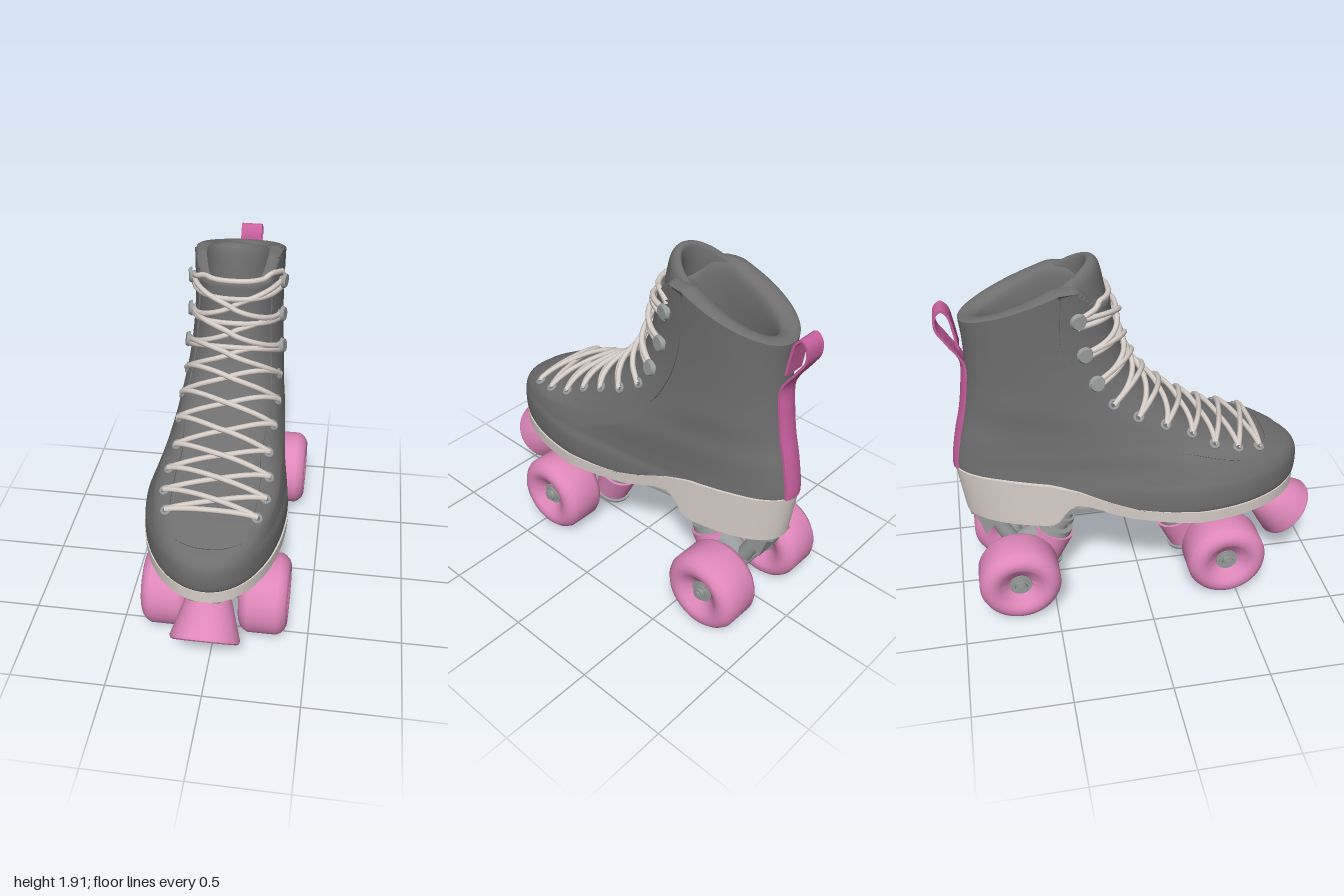
import * as THREE from 'three';
import { ParametricGeometry } from 'three/addons/geometries/ParametricGeometry.js';
import { toCreasedNormals } from 'three/addons/utils/BufferGeometryUtils.js';

const material = (name, color, side = THREE.FrontSide) => {
  const m = new THREE.MeshStandardMaterial({ color, side });
  m.name = name;
  return m;
};
const V = (x, y, z) => new THREE.Vector3(x, y, z);
const { lerp, clamp, smoothstep } = THREE.MathUtils;

// piecewise linear height along z
const heightAt = (pts, z) => {
  let i = 0;
  while (i < pts.length - 2 && z > pts[i + 1][0]) i++;
  const [a, b] = [pts[i], pts[i + 1]];
  return lerp(a[1], b[1], clamp((z - a[0]) / (b[0] - a[0]), 0, 1));
};
const SOLE_TOP = [[-1, .812], [-.75, .806], [-.5, .786], [-.35, .745], [-.2, .68], [-.05, .63], [.1, .612], [.3, .605], [.95, .6]];
const SOLE_BOTTOM = [[-1, .535], [-.5, .535], [-.46, .56], [-.42, .63], [-.37, .665], [-.3, .655], [-.2, .615], [-.1, .58], [.05, .555], [.2, .54], [.95, .535]];

// boot rings: front y, front z, back y, back z, widest z, half width, front squareness, waist, x shift, height cap
const BODY = [
  [.585, .855, .585, -.94, .25, .35, 2, .12, -.025],
  [.62, .885, .62, -.96, .25, .368, 2, .12, -.025],
  [.72, .888, .72, -.963, .25, .366, 2, .12, -.022],
  [.775, .86, .775, -.963, .24, .35, 2.1, .11, -.02],
  [.815, .79, .82, -.962, .2, .337, 2.4, .1, -.015],
  [.86, .68, .865, -.957, .12, .322, 2.9, .09, -.01],
  [.92, .475, .93, -.945, 0, .304, 3, .07, -.005],
  [.99, .325, 1, -.93, -.12, .284, 3.3, .05, 0],
  [1.085, .185, 1.09, -.905, -.22, .264, 3.4, .03, 0],
  [1.2, .055, 1.2, -.885, -.35, .247, 3, 0, 0],
  [1.33, -.04, 1.32, -.872, -.42, .235, 2.6, 0, 0],
  [1.48, -.1, 1.43, -.868, -.47, .228, 2.5, 0, 0],
  [1.64, -.132, 1.54, -.87, -.5, .226, 2.5, 0, 0],
  [1.9, -.15, 1.645, -.88, -.5, .23, 2.4, 0, 0],
].map(r => [...r, 1.81]);

function loftPoint(rings, v, a) {
  const f = clamp(v, 0, 1) * (rings.length - 1), i = Math.min(Math.floor(f), rings.length - 2), t = f - i;
  const at = j => rings[clamp(j, 0, rings.length - 1)];
  const [yf, zf, yb, zb, zc, w, n, waist, shift, cap] = rings[0].map((_, k) => {
    const [p, q, r, s] = [at(i - 1)[k], at(i)[k], at(i + 1)[k], at(i + 2)[k]];
    return q + .5 * t * (r - p + t * (2 * p - 5 * q + 4 * r - s + t * (3 * (q - r) + s - p)));
  });
  const c = Math.cos(a), s = Math.sin(a), e = c > 0 ? 2 / n : 1;
  const d = Math.pow(Math.abs(c), e);
  const z = zc + d * (c > 0 ? zf - zc : zb - zc);
  let x = w * Math.sign(s) * Math.pow(Math.abs(s), e);
  if (c < 0) x *= 1 - waist * Math.sin(Math.PI * d);
  x += shift * (1 - d * d);
  // the rim dips at the front, where the tongue comes through
  const top = cap - .09 * smoothstep(z, -.33, -.21);
  return V(x, Math.max(Math.min(lerp(yb, yf, (z - zb) / (zf - zb)), top), heightAt(SOLE_TOP, z) - .012), z);
}
const boot = (v, a) => loftPoint(BODY, v, a);
const bootNormal = (v, a) => {
  const e = 1e-3;
  const da = boot(v, a + e).sub(boot(v, a - e)), dv = boot(v + e, a).sub(boot(v - e, a));
  return da.cross(dv).normalize();
};
const onBoot = (v, a, off) => boot(v, a).addScaledVector(bootNormal(v, a), off);

// nearest surface coordinates (angle, ring) to a side position
function locate(z, y) {
  let best = 9, out;
  for (let i = 0; i <= 130; i++) for (let j = 0; j <= 110; j++) {
    const a = j / 110 * 2.6, v = .12 + i / 130 * .88, p = boot(v, a), d = Math.hypot(p.z - z, p.y - y);
    if (d < best) { best = d; out = new THREE.Vector2(a, v); }
  }
  return out;
}
const surface = (fn, nu, nv) => new ParametricGeometry((u, v, t) => t.copy(fn(u, v)), nu, nv);

export function createModel() {
  const leather = material('charcoalLeather', 0x6e6e6e, THREE.DoubleSide);
  const pink = material('pink', 0xdf88bb), ribbon = material('pinkRibbon', 0xc8609f, THREE.DoubleSide);
  const cream = material('cream', 0xd8cfc9, THREE.DoubleSide), metal = material('metal', 0x989b9b);
  const model = new THREE.Group();
  model.name = 'rollerSkate';
  const group = name => { const g = new THREE.Group(); g.name = name; model.add(g); return g; };
  const add = (parent, name, geo, mat) => { const m = new THREE.Mesh(geo, mat); m.name = name; parent.add(m); return m; };
  const rod = (parent, name, from, to, r0, r1, mat, sides = 28) => {
    const dir = to.clone().sub(from);
    const m = add(parent, name, new THREE.CylinderGeometry(r1, r0, dir.length(), sides), mat);
    m.position.copy(from).lerp(to, .5);
    m.quaternion.setFromUnitVectors(V(0, 1, 0), dir.normalize());
  };

  // boot upper, padded collar and lining
  const upper = group('bootUpper');
  add(upper, 'bootBody', surface((u, v) => boot(v, u * Math.PI * 2), 120, 70), leather);
  const rim = BODY[BODY.length - 1];
  const inset = (d, dy) => rim.map((r, k) => r + [dy, -d, dy, d, 0, -d, 0, 0, 0, dy][k]);
  const lining = [inset(0, 0), inset(.02, .012), inset(.06, .015), inset(.1, -.01), inset(.115, -.1), inset(.115, -.3),
    [1.2, -.15, 1.2, -.77, -.45, .13, 2.2, 0, 0, 1.8], [.93, .05, .93, -.82, -.4, .17, 2.2, 0, 0, 1.8]];
  add(upper, 'collarLining', surface((u, v) => loftPoint(lining, v, u * Math.PI * 2), 90, 50), leather);
  const insole = add(upper, 'insole', new THREE.CircleGeometry(1, 40).rotateX(-Math.PI / 2), cream);
  insole.scale.set(.19, 1, .45);
  insole.position.set(0, .935, -.39);

  // tongue rising out of the collar
  const tongueEdge = new THREE.SplineCurve([[0, 1.45], [0, 1.7], [.002, 1.84], [.012, 1.895], [.04, 1.915], [.068, 1.89], [.085, 1.75], [.085, 1.4]]
    .map(p => new THREE.Vector2(...p)));
  add(upper, 'tongue', surface((u, v) => {
    const p = tongueEdge.getPoint(v), s = (u * 2 - 1) * Math.PI / 2, lean = (p.y - 1.7) * .17;
    return V((.2 - (p.y - 1.7) * .1 - p.x * .7) * Math.sin(s), p.y - .11 * (1 - Math.cos(s)), -.42 + (.268 - lean - p.x) * Math.cos(s));
  }, 36, 40), leather);

  // lacing points as (z, y) seen from the side: seven eyelets, then three hooks
  const lacing = [[.61, .86], [.49, .885], [.36, .925], [.24, .99], [.1, 1.07], [-.04, 1.135], [-.16, 1.22], [-.25, 1.34], [-.3, 1.5], [-.325, 1.68]]
    .map(p => locate(...p));

  // horseshoe facing that carries the lacing
  const outerHalf = [[.68, .82], [.5, .843], [.37, .87], [.24, .905], [.06, .965], [-.1, 1.045], [-.22, 1.13], [-.32, 1.25], [-.39, 1.42], [-.41, 1.62], [-.4, 1.795]]
    .map(p => locate(...p));
  const innerHalf = lacing.map(p => new THREE.Vector2(p.x * .76, p.y));
  innerHalf.push(new THREE.Vector2(innerHalf[9].x, .985));
  const horseshoe = (half, toeV) => new THREE.SplineCurve([
    ...half.map(p => new THREE.Vector2(-p.x, p.y)).reverse(), new THREE.Vector2(0, toeV), ...half]);
  const outer = horseshoe(outerHalf, locate(.8, .81).y), inner = horseshoe(innerHalf, locate(.68, .86).y);
  add(upper, 'facing', toCreasedNormals(surface((u, w) => {
    const t = clamp((w - .1) / .8, 0, 1), p = outer.getPoint(u).lerp(inner.getPoint(u), t);
    return onBoot(p.y, p.x, w < .05 || w > .95 ? -.004 : .008);
  }, 150, 10), .7), leather);

  // eyelets and hooks
  const fittings = group('laceFittings');
  lacing.forEach((p, i) => [1, -1].forEach(side => {
    const a = p.x * side, n = bootNormal(p.y, a);
    if (i < 7) {
      const ring = add(fittings, 'eyelet', new THREE.TorusGeometry(.022, .009, 8, 20), metal);
      ring.position.copy(onBoot(p.y, a, .011));
      ring.quaternion.setFromUnitVectors(V(0, 0, 1), n);
    } else {
      rod(fittings, 'hookStem', onBoot(p.y, a, 0), onBoot(p.y, a, .03), .022, .022, metal, 16);
      rod(fittings, 'hookHead', onBoot(p.y, a, .026), onBoot(p.y, a, .044), .042, .034, metal, 20);
    }
  }));

  // laces pulled tight over the tongue: each stays in the plane of its chord
  const laces = group('laces');
  const lace = (a0, v0, a1, v1, lift) => {
    const p0 = boot(v0, a0), p1 = boot(v1, a1), mid = (v0 + v1) / 2;
    const slope = boot(mid + .01, 0).sub(boot(mid - .01, 0));
    const spread = a => Math.sign(a) * Math.pow(Math.abs(Math.sin(a)), .67);
    const pts = [];
    for (let i = 0; i <= 16; i++) {
      const t = i / 16, f = lerp(spread(a0), spread(a1), t), chord = p0.clone().lerp(p1, t);
      const a = i % 16 ? Math.sign(f) * Math.asin(Math.pow(Math.abs(f), 1.5)) : (i ? a1 : a0);
      let lo = .25, hi = 1;
      for (let k = 0; k < 18; k++) {
        const m = (lo + hi) / 2;
        if (boot(m, a).sub(chord).dot(slope) < 0) lo = m; else hi = m;
      }
      pts.push(onBoot(Math.min(lo, .975), a, .018 + lift * Math.sin(Math.PI * t)));
    }
    add(laces, 'lace', new THREE.TubeGeometry(new THREE.CatmullRomCurve3(pts), 44, .0145, 7), cream);
  };
  lacing.forEach((p, i) => {
    const q = lacing[i + 1];
    if (i === 0 || i === 9) lace(-p.x, p.y, p.x, p.y + (i ? .015 : 0), .006);
    if (i >= 7) lace(-p.x, p.y - .012, p.x, p.y - .012, .004);
    if (!q) return;
    lace(-p.x, p.y, q.x, q.y, .003);
    lace(p.x, p.y, -q.x, q.y, .02);
  });

  // heel strip and pull loop, a ribbon with a thin rectangular section
  const strap = new THREE.CatmullRomCurve3([[-.972, .81], [-.97, .86], [-.942, 1.02], [-.913, 1.14], [-.892, 1.28], [-.884, 1.4], [-.905, 1.47],
    [-.947, 1.54], [-.988, 1.61], [-.984, 1.68], [-.955, 1.705], [-.925, 1.68], [-.905, 1.6], [-.889, 1.5]].map(([z, y]) => V(0, y, z)));
  const section = [[1, 1], [-1, 1], [-1, -1], [1, -1], [1, 1]];
  add(model, 'pullLoop', toCreasedNormals(surface((u, v) => {
    const p = strap.getPoint(v), d = strap.getTangent(v), k = Math.min(Math.floor(u * 4), 3), t = u * 4 - k;
    const x = .058 * lerp(section[k][0], section[k + 1][0], t), h = .006 * lerp(section[k][1], section[k + 1][1], t);
    return V(x, p.y + d.z * h, p.z - d.y * h + x * x * 5 * (1 - smoothstep(p.y, 1.4, 1.52)));
  }, 16, 90), .7), ribbon);

  // sole with raised heel and arch
  const sole = group('sole');
  const soleWall = (u, v) => {
    const p = boot(1 / 13, u * Math.PI * 2), grow = lerp(.008, .016, v);
    p.x *= 1 + grow;
    p.z *= p.z > 0 ? .992 : 1 + grow * .6;
    p.z += (1 - v) * .035 * smoothstep(-p.z, .5, .95);
    p.y = lerp(heightAt(SOLE_BOTTOM, p.z), heightAt(SOLE_TOP, p.z), v);
    return p;
  };
  add(sole, 'soleWall', surface(soleWall, 200, 4), cream);
  add(sole, 'soleRim', surface((u, v) => {
    const p = soleWall(u, 1);
    return V(p.x * (1 - v * .1), p.y, p.z * (1 - v * .04));
  }, 120, 1), cream);
  add(sole, 'soleBottom', surface((u, v) => {
    const p = soleWall(u, 0);
    return V(p.x * v, p.y, p.z);
  }, 200, 4), cream);

  // mounting plate and chassis beam
  const chassis = group('chassis');
  const plateSide = [[.07, .865], [.15, .78], [.22, .65], [.26, .42], [.23, .1], [.15, -.35], [.14, -.82], [.07, -.915]];
  const plate = new THREE.Shape([...plateSide, ...plateSide.map(([x, z]) => [-x, z]).reverse()].map(([x, z]) => new THREE.Vector2(x, -z)));
  add(chassis, 'mountingPlate', new THREE.ExtrudeGeometry(plate, { depth: .014, bevelEnabled: false }).rotateX(-Math.PI / 2), metal).position.y = .523;
  const beam = new THREE.Shape([[.62, .525], [.57, .46], [.3, .45], [.24, .49], [.14, .45], [-.43, .45], [-.49, .49], [-.56, .45], [-.78, .45],
    [-.845, .385], [-.89, .525]].map(([z, y]) => new THREE.Vector2(-z, y)));
  add(chassis, 'beam', new THREE.ExtrudeGeometry(beam, { depth: .16, bevelEnabled: false }).translate(0, 0, -.08).rotateY(Math.PI / 2), metal);

  // wheel profile: radius, distance along the axle
  const wheelProfile = [[.058, -.075], [.07, -.085], [.115, -.115], [.135, -.127], [.165, -.127], [.185, -.118], [.207, -.096], [.217, -.075],
    [.217, .075], [.207, .096], [.185, .118], [.165, .127], [.135, .127], [.115, .115], [.07, .085], [.058, .075]].map(p => new THREE.Vector2(...p));
  const wheelGeo = toCreasedNormals(new THREE.LatheGeometry(wheelProfile, 48), .6).rotateZ(-Math.PI / 2);

  // two mirrored trucks, each with cushion cup, hanger, axle and wheels
  [1, -1].forEach(dir => {
    const truck = group(dir > 0 ? 'frontTruck' : 'rearTruck');
    const at = (z, y, x = 0) => V(x, y, -.125 + dir * (z + .125));
    const along = t => at(lerp(.165, .3, t), lerp(.46, .12, t));
    rod(truck, 'kingpinBase', along(0), along(.12), .062, .072, metal);
    rod(truck, 'upperWasher', along(.12), along(.2), .088, .088, metal);
    rod(truck, 'upperCushion', along(.2), along(.32), .07, .07, metal);
    rod(truck, 'hangerRing', along(.32), along(.42), .1, .1, metal);
    rod(truck, 'cushionCup', along(.42), along(.88), .115, .098, pink);
    rod(truck, 'lowerWasher', along(.88), along(.92), .112, .112, metal);
    rod(truck, 'kingpinNut', along(.92), along(.98), .04, .04, metal, 6);
    rod(truck, 'hangerArm', along(.4), at(.44, .235), .085, .05, metal);
    rod(truck, 'pivot', at(.44, .24), at(.56, .47), .045, .035, metal);
    rod(truck, 'hangerTube', at(.44, .22, -.15), at(.44, .22, .15), .045, .045, metal);
    rod(truck, 'axle', at(.44, .22, -.375), at(.44, .22, .375), .017, .017, metal, 16);
    [1, -1].forEach(side => {
      add(truck, 'wheel', wheelGeo, pink).position.copy(at(.44, .2175, side * .258));
      rod(truck, 'bearing', at(.44, .2175, side * .175), at(.44, .2175, side * .34), .06, .06, metal);
      rod(truck, 'axleWasher', at(.44, .2175, side * .34), at(.44, .2175, side * .347), .044, .044, metal);
      rod(truck, 'axleNut', at(.44, .2175, side * .345), at(.44, .2175, side * .368), .034, .034, metal, 6);
    });
  });

  // angled toe stop
  const toe = group('toeStop');
  const stop = add(toe, 'stopper', toCreasedNormals(new THREE.LatheGeometry([[0, -.112], [.16, -.112], [.173, -.106], [.177, -.09], [.118, .1], [.11, .11], [0, .11]]
    .map(p => new THREE.Vector2(...p)), 40), .6), pink);
  stop.position.set(0, .343, .8);
  stop.quaternion.setFromUnitVectors(V(0, 1, 0), V(0, .153, -.162).normalize());
  rod(toe, 'stem', V(0, .41, .72), V(0, .525, .6), .036, .036, metal, 18);
  rod(toe, 'lockNut', V(0, .465, .665), V(0, .495, .633), .062, .062, metal, 6);
  return model;
}
